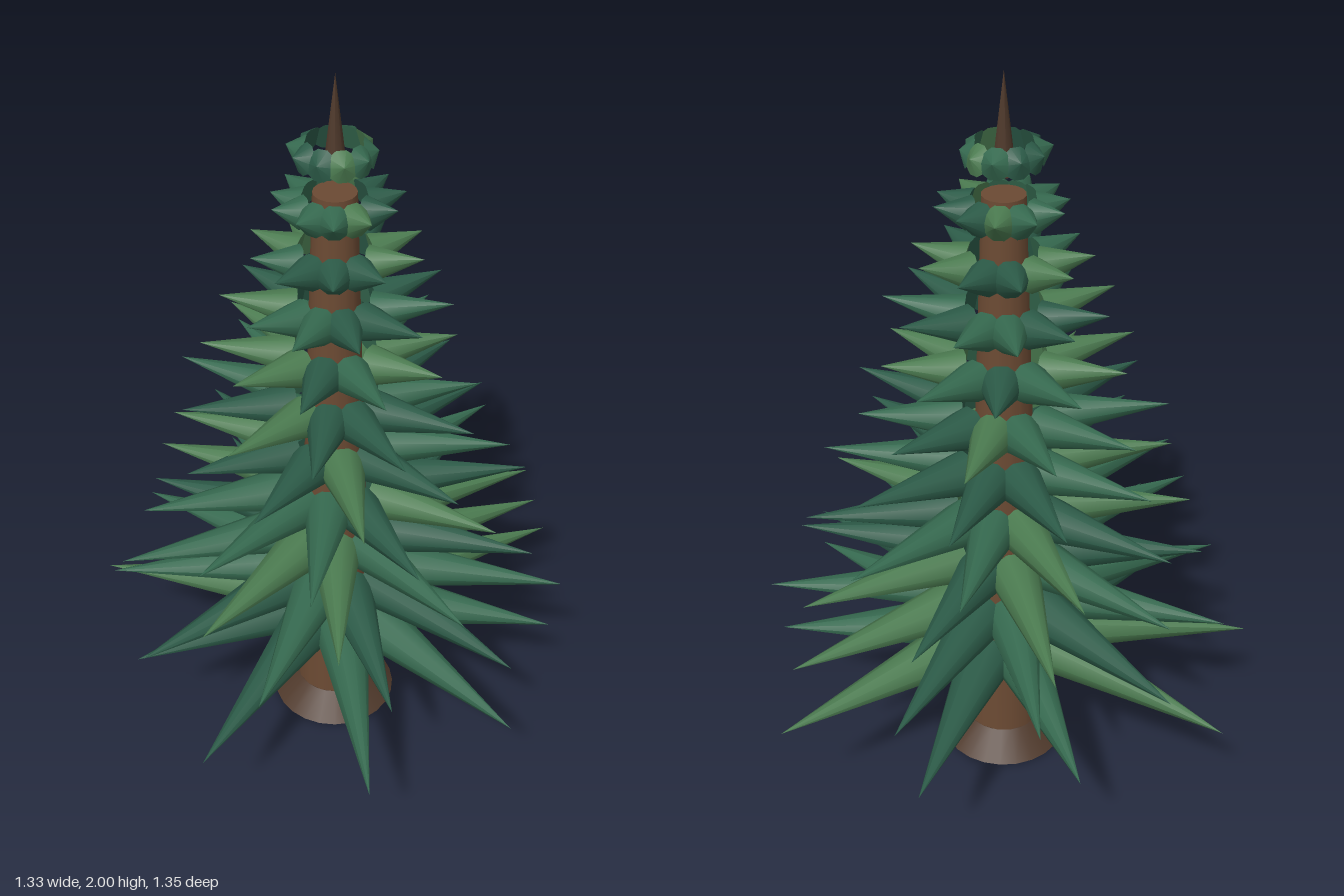
import * as THREE from 'three';

const TIERS = 11;
const AXIS = new THREE.Vector3(0.005, 0, -0.045);

const paint = (color) => new THREE.MeshStandardMaterial({ color });
const bark = paint(0x6b4a33);
const darkBark = paint(0x4f392b);
const greens = [0x2c5b48, 0x35694f, 0x4b7b50].map(paint);

// small seeded generator for natural variation
function seeded(seed) {
  return () => {
    seed = (seed * 16807) % 2147483647;
    return seed / 2147483647;
  };
}

function part(name, geometry, material, y) {
  const mesh = new THREE.Mesh(geometry, material);
  mesh.name = name;
  mesh.position.y = y;
  return mesh;
}

// needle cone running along +x, with its wide end at the origin
function bough(radius, length, tilt, angle, material) {
  const geometry = new THREE.ConeGeometry(radius, length, 10);
  geometry.translate(0, length / 2, 0).rotateZ(-Math.PI / 2);
  const mesh = new THREE.Mesh(geometry, material);
  mesh.name = 'bough';
  mesh.rotation.order = 'YZX';
  mesh.rotation.set(0, -angle, tilt);
  return mesh;
}

export function createModel() {
  const tree = new THREE.Group();
  tree.name = 'firTree';
  const rand = seeded(4711);

  // trunk, flared foot and bare leader at the top
  tree.add(part('trunk', new THREE.CylinderGeometry(0.055, 0.11, 1.63, 16), bark, 0.885));
  tree.add(part('trunkFoot', new THREE.CylinderGeometry(0.11, 0.18, 0.07, 24), darkBark, 0.035));
  tree.add(part('leader', new THREE.ConeGeometry(0.03, 0.25, 8), darkBark, 1.875));

  // starting angle of the lowest tiers, and reach of the lowest boughs
  const phases = [11.7, 11.3, 17.7, 31.6];
  const lowestReach = [0.63, 0.69, 0.73, 0.71, 0.61, 0.69, 0.71, 0.63, 0.68, 0.72];

  // whorls of boughs, shrinking and lifting towards the top
  for (let i = 0; i < TIERS; i++) {
    const t = i / (TIERS - 1);
    const tier = new THREE.Group();
    tier.name = 'boughTier' + (i + 1);
    tier.position.y = THREE.MathUtils.lerp(0.385, 1.805, t);
    const count = i % 2 ? 11 : 10;
    const phase = phases[i] ?? i * 137.5;
    const inner = THREE.MathUtils.lerp(0.16, 0.08, t);
    const radius = THREE.MathUtils.lerp(0.077, 0.039, t);
    const tilt = THREE.MathUtils.degToRad(-2.5 + 2.2 * i);

    for (let k = 0; k < count; k++) {
      const angle = THREE.MathUtils.degToRad(phase + (360 * k) / count);
      const vary = 0.93 + 0.14 * rand();
      const reach = i === 0 ? lowestReach[k] : (0.685 - 0.0575 * i) * vary;
      const material = greens[Math.floor(rand() * 2.6)];
      const length = Math.max(reach - inner, 0.02) / Math.cos(tilt);
      const mesh = bough(radius, length, tilt, angle, material);
      mesh.position.set(Math.cos(angle) * inner, 0, Math.sin(angle) * inner);
      tier.add(mesh);
    }
    tree.add(tier);
  }

  tree.children.forEach((child) => child.position.add(AXIS));
  return tree;
}
